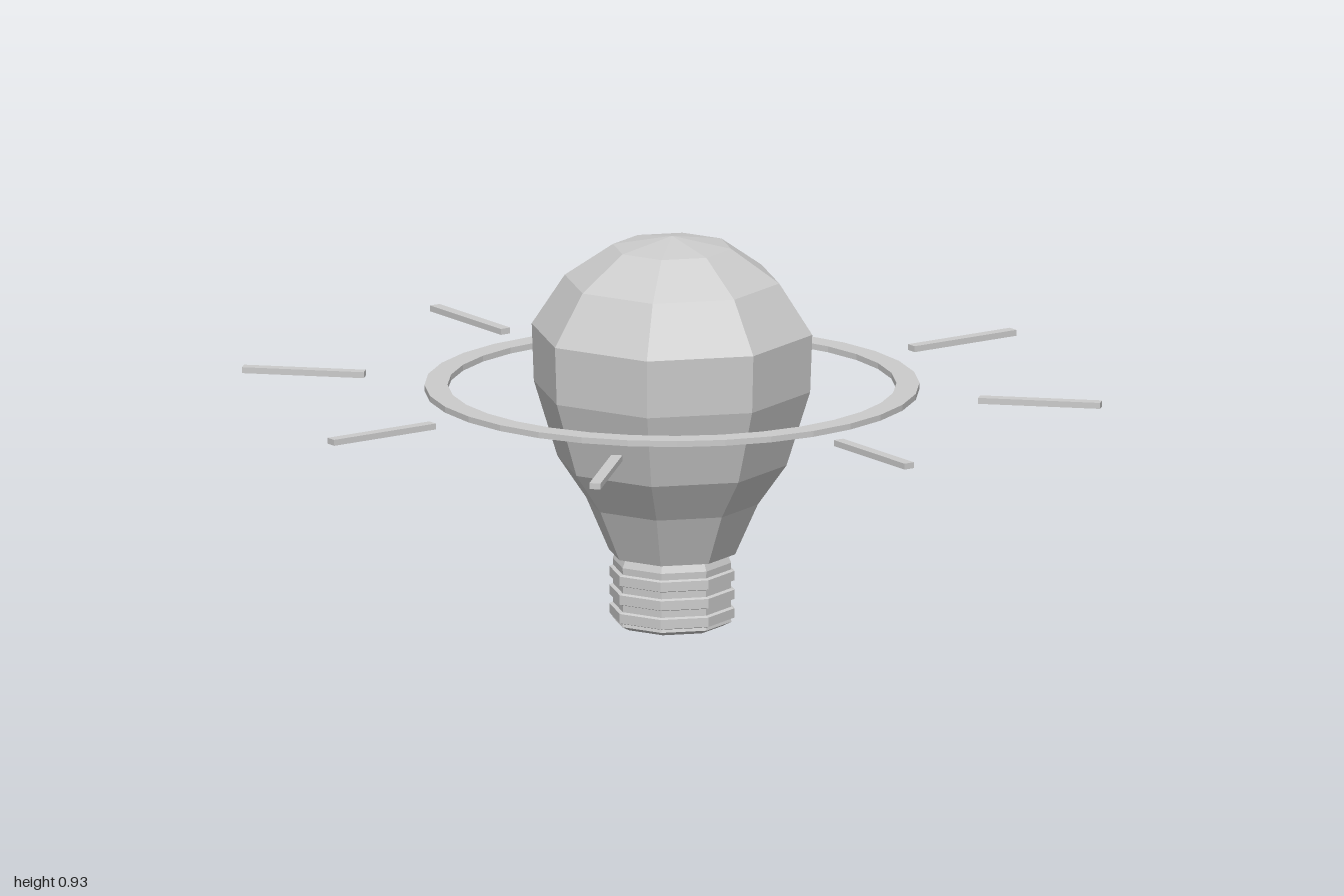
import * as THREE from 'three';

const material = new THREE.MeshStandardMaterial({ color: 0xcccccc, flatShading: true });

function addMesh(parent, name, geometry) {
  const mesh = new THREE.Mesh(geometry, material);
  mesh.name = name;
  parent.add(mesh);
  return mesh;
}

// Profile of [radius, height] pairs, listed from bottom to top
function lathe(profile, sides) {
  return new THREE.LatheGeometry(profile.map(([r, y]) => new THREE.Vector2(r, y)), sides);
}

export function createModel() {
  const model = new THREE.Group();
  model.name = 'lightBulb';

  // Faceted glass bulb
  addMesh(model, 'glass', lathe([
    [0, 0.185], [0.147, 0.185], [0.2, 0.305], [0.267, 0.4], [0.322, 0.575],
    [0.327, 0.71], [0.25, 0.828], [0.138, 0.905], [0, 0.93],
  ], 8));

  // Screw base with three raised threads
  const base = [[0, 0], [0.12, 0.016], [0.139, 0.026]];
  for (const y of [0.033, 0.077, 0.121]) {
    base.push([0.137, y], [0.146, y + 0.003], [0.146, y + 0.025], [0.137, y + 0.028]);
  }
  base.push([0.138, 0.165], [0.127, 0.19], [0, 0.19]);
  addMesh(model, 'screwBase', lathe(base, 8));

  // Flat halo ring around the bulb
  const y0 = 0.567, y1 = 0.581;
  addMesh(model, 'haloRing', lathe([
    [0.515, y0], [0.568, y0], [0.568, y1], [0.515, y1], [0.515, y0],
  ], 32));

  // Eight light rays, the diagonal ones set slightly closer in
  const rays = new THREE.Group();
  rays.name = 'rays';
  model.add(rays);
  for (let i = 0; i < 8; i++) {
    const angle = i * Math.PI / 4;
    const radius = i % 2 ? 0.811 : 0.858;
    const ray = addMesh(rays, 'ray', new THREE.BoxGeometry(0.284, y1 - y0, 0.026));
    ray.position.set(Math.cos(angle) * radius, (y0 + y1) / 2, -Math.sin(angle) * radius);
    ray.rotation.y = angle;
  }

  return model;
}
